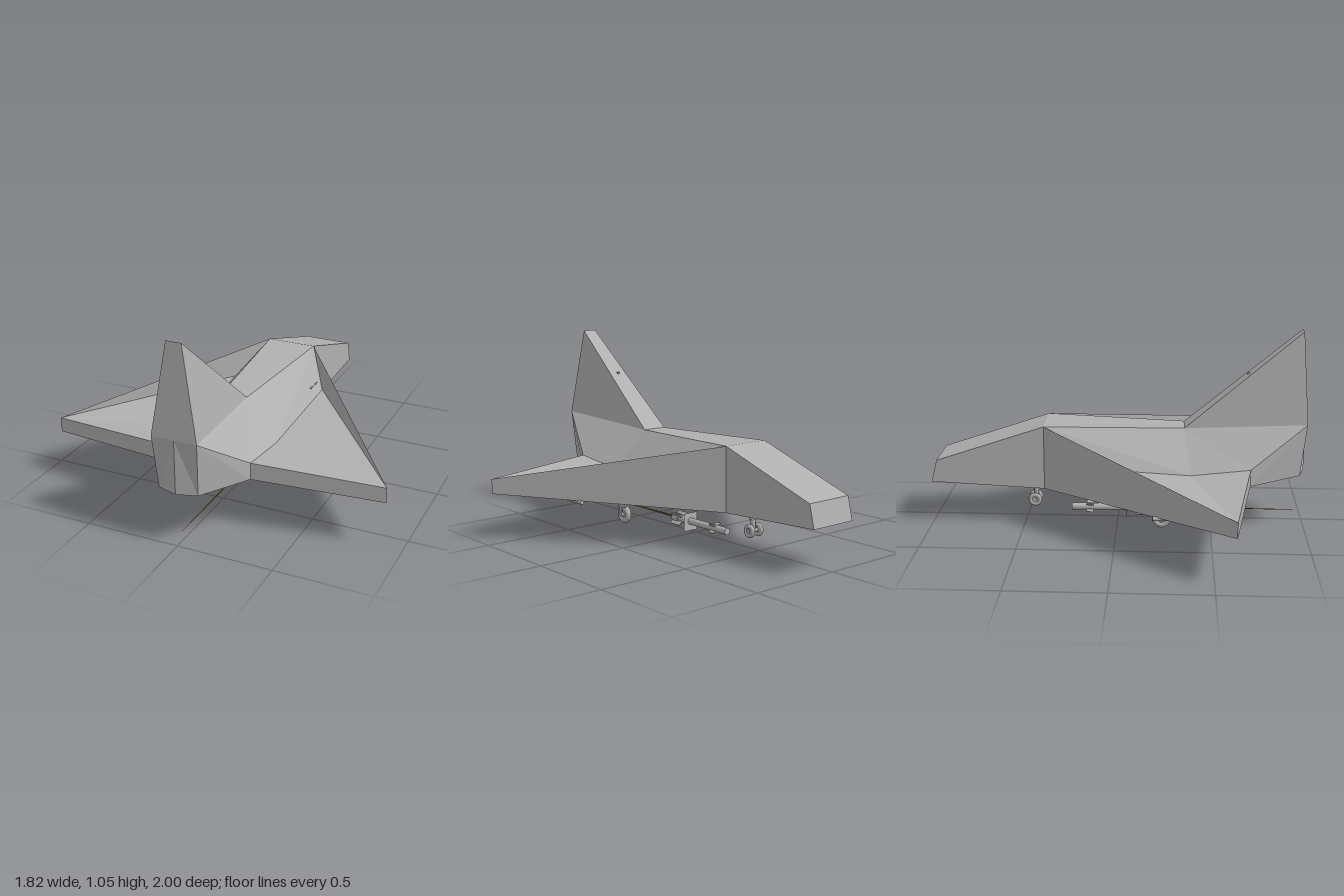
import * as THREE from 'three';

const mat = (name, color, extra = {}) => {
  const m = new THREE.MeshStandardMaterial({ color, ...extra });
  m.name = name;
  return m;
};

export function createModel() {
  const group = new THREE.Group();
  const grey = mat('hull grey', 0xb0b0b0, { flatShading: true });
  const greySmooth = mat('gear grey', 0xb0b0b0);
  const greyThin = mat('plate grey', 0xb0b0b0, { side: THREE.DoubleSide });
  const gold = mat('exhaust gold', 0x8a7426, { side: THREE.DoubleSide });

  const add = (parent, name, geo, m, x = 0, y = 0, z = 0) => {
    const mesh = new THREE.Mesh(geo, m);
    mesh.name = name;
    mesh.position.set(x, y, z);
    parent.add(mesh);
    return mesh;
  };
  const part = (name, x = 0, y = 0, z = 0) => {
    const g = new THREE.Group();
    g.name = name;
    g.position.set(x, y, z);
    group.add(g);
    return g;
  };
  const box = (w, h, d) => new THREE.BoxGeometry(w, h, d);
  const rodZ = (r1, r2, len, n = 12) => new THREE.CylinderGeometry(r1, r2, len, n).rotateX(Math.PI / 2);
  const rodX = (r, len, n = 16) => new THREE.CylinderGeometry(r, r, len, n).rotateZ(Math.PI / 2);
  const rodY = (r, len, n = 10) => new THREE.CylinderGeometry(r, r, len, n);

  // Faceted airframe: corners of one half, a "0" suffix means on the centre line
  const P = {
    A: [0.135, 0.35, -0.97], B: [0.135, 0.23, -1], // nose tip
    C: [0.135, 0.545, -0.39], D: [0.135, 0.2, -0.39], // cockpit peak and belly
    E: [0.25, 0.36, -0.24], N: [0.25, 0.325, 0.39], // wing root
    F: [0.91, 0.325, 0.6], G: [0.91, 0.245, 0.6], // wing tip
    H: [0.25, 0.36, 0.7], I: [0.25, 0.27, 0.7], // root trailing edge
    J: [0.12, 0.57, 1], K: [0.105, 0.285, 0.97], // tail
    L: [0.07, 0.53, 0.355], M: [0.04, 1.05, 0.97], // fin
  };
  for (const k of Object.keys(P)) P[k + '0'] = [0, P[k][1], P[k][2]];
  P.K0 = [0, 0.284, 1];

  const surface = (name, faces) => {
    const pos = [];
    for (const side of [1, -1]) {
      for (const face of faces) {
        const pts = face.split(' ').map((k) => [P[k][0] * side, P[k][1], P[k][2]]);
        for (let i = 1; i < pts.length - 1; i++) {
          const tri = [pts[0], pts[i], pts[i + 1]];
          if (side < 0) tri.reverse();
          pos.push(...tri.flat());
        }
      }
    }
    const geo = new THREE.BufferGeometry();
    geo.setAttribute('position', new THREE.Float32BufferAttribute(pos, 3));
    geo.computeVertexNormals();
    add(group, name, geo, grey);
  };
  surface('nose', ['A C D B', 'A0 C0 C A', 'A0 A B B0', 'B0 B D D0']);
  surface('fuselage', ['L J H', 'L H N', 'C L N', 'C N E', 'C0 L0 L C', 'J K I H', 'J0 K0 K J',
    'D0 D I', 'D0 I K', 'D0 K K0']);
  surface('wings', ['C E F', 'C F G', 'C G D', 'N F E', 'H F N', 'H I G F', 'D G I']);
  surface('tailFin', ['L M J', 'M0 J0 J M', 'L0 M0 M L']);

  // Wheel: rounded tyre with a hub, axle along x
  const wheel = (parent, r, w, x, y, z) => {
    add(parent, 'tyre', new THREE.TorusGeometry(r - w / 2, w / 2, 10, 20).rotateY(Math.PI / 2), greySmooth, x, y, z);
    add(parent, 'hub', rodX(r - w / 2, w * 0.6), greySmooth, x, y, z);
  };

  // Nose gear with twin wheels
  const nose = part('noseGear', 0, 0, -0.45);
  for (const s of [1, -1]) wheel(nose, 0.037, 0.024, s * 0.03, 0.1, -0.005);
  add(nose, 'axle', rodX(0.009, 0.08), greySmooth, 0, 0.1, -0.005);
  add(nose, 'strut', rodY(0.013, 0.12), greySmooth, 0, 0.15, 0);
  add(nose, 'collar', rodY(0.02, 0.035), greySmooth, 0, 0.175, 0);
  add(nose, 'bracket', box(0.045, 0.03, 0.06), grey, 0, 0.185, 0);

  for (const s of [1, -1]) {
    // Main gear
    const gear = part(s > 0 ? 'leftMainGear' : 'rightMainGear', s * 0.305, 0, 0.24);
    wheel(gear, 0.05, 0.034, 0, 0.107, 0);
    add(gear, 'axle', rodX(0.01, 0.055), greySmooth, 0, 0.107, 0);
    for (const t of [1, -1]) add(gear, 'fork', box(0.008, 0.07, 0.018), grey, t * 0.023, 0.135, 0);
    add(gear, 'forkTop', box(0.054, 0.014, 0.025), grey, 0, 0.168, 0);
    add(gear, 'strut', rodY(0.014, 0.08), greySmooth, 0, 0.2, 0);
    add(gear, 'door', box(0.008, 0.085, 0.065), grey, s * 0.027, 0.195, -0.015);

    // Rod slung under the wing
    const rod = part(s > 0 ? 'leftWingRod' : 'rightWingRod', s * 0.61, 0, 0.345);
    add(rod, 'tube', rodZ(0.011, 0.011, 0.29), greySmooth, 0, 0.222, 0);
    add(rod, 'mount', box(0.01, 0.025, 0.12), grey, 0, 0.238, 0.03);

    // Small blades on the fuselage side
    for (const z of [-0.215, -0.155]) add(group, 'sideBlade', box(0.008, 0.007, 0.03), grey, s * 0.222, 0.402, z);
  }
  add(group, 'finProbe', box(0.012, 0.012, 0.012), grey, 0, 0.817, 0.69);

  // Slung store with two sets of crossed fins
  const store = part('store', 0, 0.053, 0);
  add(store, 'body', rodZ(0.019, 0.019, 0.44, 16), greySmooth, 0, 0, -0.035);
  add(store, 'tailCollar', rodZ(0.024, 0.024, 0.05, 16), greySmooth, 0, 0, 0.155);
  for (const a of [Math.PI / 4, -Math.PI / 4]) {
    add(store, 'tailFins', box(0.088, 0.006, 0.08), grey, 0, 0, 0.14).rotation.z = a;
    add(store, 'frontFins', box(0.07, 0.006, 0.04), grey, 0, 0, -0.155).rotation.z = a;
  }
  add(store, 'squarePlate', new THREE.PlaneGeometry(0.094, 0.1), greyThin, 0, -0.003, 0.045);

  // Thin tapering exhaust streak
  for (const a of [0, Math.PI / 2]) {
    const g = new THREE.PlaneGeometry(0.012, 0.76).rotateX(Math.PI / 2);
    const p = g.attributes.position;
    for (let i = 0; i < p.count; i++) if (p.getZ(i) > 0) p.setX(i, p.getX(i) * 0.2);
    add(store, 'exhaustStreak', g, gold, 0, 0.002, 0.575).rotation.z = a;
  }
  return group;
}
